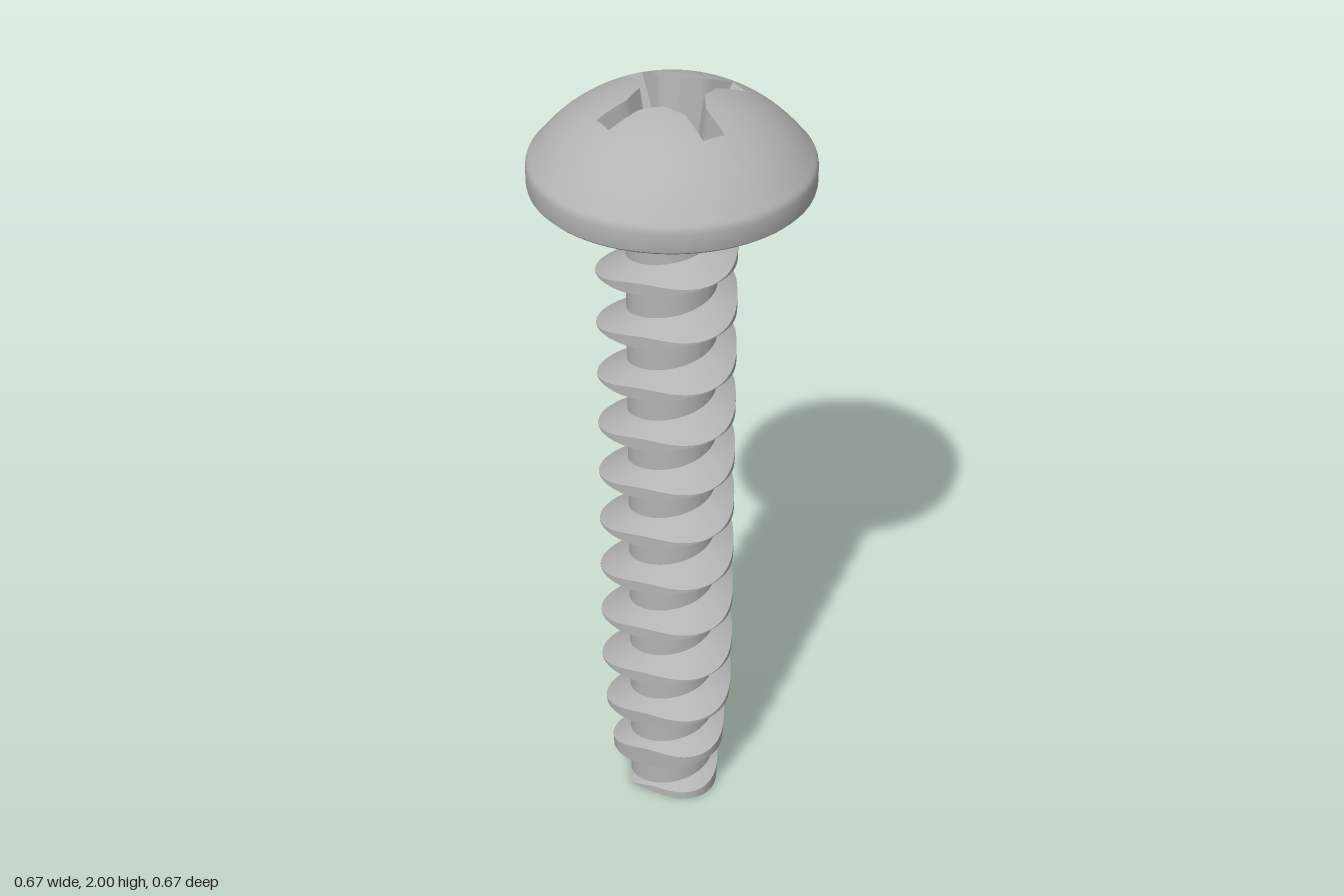
import * as THREE from 'three';
import { toCreasedNormals } from 'three/addons/utils/BufferGeometryUtils.js';

const TAU = Math.PI * 2;

// Point at a counter-clockwise angle (seen from above), radius and height
const polar = (a, r, y) => new THREE.Vector3(r * Math.cos(a), y, -r * Math.sin(a));

// Skin a stack of rings (listed so that the surface faces outwards)
function loft(rings) {
  const pos = [];
  const n = new THREE.Vector3(), e = new THREE.Vector3();
  const tri = (a, b, c) => {
    n.subVectors(b, a).cross(e.subVectors(c, a));
    if (n.length() > 1e-9) for (const p of [a, b, c]) pos.push(p.x, p.y, p.z);
  };
  for (let j = 0; j + 1 < rings.length; j++) {
    for (let i = 0; i + 1 < rings[j].length; i++) {
      const a = rings[j][i], b = rings[j][i + 1], c = rings[j + 1][i + 1], d = rings[j + 1][i];
      tri(a, b, c);
      tri(a, c, d);
    }
  }
  const g = new THREE.BufferGeometry();
  g.setAttribute('position', new THREE.Float32BufferAttribute(pos, 3));
  return toCreasedNormals(g, 0.5);
}

// Three-lobed shank with a V thread, tapering at the tip
function shankGeometry() {
  const N = 72, pitch = 0.1436, crestY = 0.297, top = 1.78;
  const core = 0.108, apex = 0.182, slope = 0.577;
  const lobes = (a, y) =>
    0.167 + 0.013 * Math.cos(3 * (a + Math.PI / 12)) - 0.036 * Math.max(0, 1 - y / 0.33);
  const radius = (a, y) => {
    const t = (y - crestY) / pitch - a / TAU;
    const v = apex - Math.abs(t - Math.round(t)) * pitch / slope;
    return Math.max(core, Math.min(lobes(a, y), v));
  };
  const ring = (fn) => Array.from({ length: N + 1 }, (_, i) => fn((i / N) * TAU));
  const rings = [ring((a) => polar(a, 0, 0))];
  const root = slope * (apex - core);
  for (let k = -4; k <= 11; k++) {
    for (const side of [-2, -1, 1, 2]) {
      rings.push(ring((a) => {
        const yc = crestY + pitch * (k + a / TAU);
        const crest = slope * (apex - lobes(a, Math.max(0, yc)));
        const off = Math.abs(side) === 2 ? root : Math.min(crest, root);
        const y = Math.min(top, Math.max(0, yc + Math.sign(side) * off));
        return polar(a, radius(a, y), y);
      }));
    }
  }
  return loft(rings);
}

// Cross recess: matching rim and floor outlines, as [angle, radius]
function recessOutline() {
  // One arm: [rim along, rim across, floor along, floor across, subdivisions]
  const arm = [
    [0.053, -0.053, 0.038, -0.038, 6],
    [0.103, -0.027, 0.09, -0.0165, 4],
    [0.18, -0.028, 0.09, -0.0165, 4],
    [0.18, 0.028, 0.09, 0.0165, 4],
    [0.103, 0.027, 0.09, 0.0165, 6],
    [0.053, 0.053, 0.038, 0.038, 0],
  ];
  const rim = [], floor = [];
  const add = (list, x, y, turn) => list.push([Math.atan2(y, x) + turn, Math.hypot(x, y)]);
  for (let q = 0; q < 4; q++) {
    const turn = THREE.MathUtils.degToRad(75.5) + q * Math.PI / 2;
    for (let s = 0; s < 5; s++) {
      const p = arm[s], e = arm[s + 1];
      for (let i = 0; i < p[4]; i++) {
        const m = p.map((v, c) => v + (e[c] - v) * i / p[4]);
        add(rim, m[0], m[1], turn);
        add(floor, m[2], m[3], turn);
      }
    }
  }
  for (const list of [rim, floor]) list.push([list[0][0] + TAU, list[0][1]]);
  return { rim, floor };
}

// Domed head
const domeY = (r) => 2.004 - 0.405 + Math.sqrt(0.405 ** 2 - r * r);

function headRings() {
  const { rim, floor } = recessOutline();
  const floorY = 1.85;
  const edge = [[0, 1.765], [0.322, 1.765], [0.328, 1.767], [0.333, 1.772], [0.335, 1.78],
    [0.335, 1.818], [0.334, 1.826], [0.331, 1.834]];
  const shell = edge.map(([r, y]) => rim.map(([a]) => polar(a, r, y)));
  for (let s = 0; s <= 14; s++) {
    shell.push(rim.map(([a, r0]) => {
      const r = 0.325 + (r0 - 0.325) * s / 14;
      return polar(a, r, domeY(r));
    }));
  }
  const recess = [
    shell[shell.length - 1],
    floor.map(([a, r]) => polar(a, r, floorY)),
    floor.map(([a]) => polar(a, 0, floorY)),
  ];
  return { shell, recess };
}

export function createModel() {
  const steel = new THREE.MeshStandardMaterial({ color: 0xb3b3b3 });
  steel.name = 'steel';
  const group = new THREE.Group();
  group.name = 'screw';
  const add = (name, geometry) => {
    const mesh = new THREE.Mesh(geometry, steel);
    mesh.name = name;
    group.add(mesh);
  };
  const { shell, recess } = headRings();
  add('threadedShank', shankGeometry());
  add('domedHead', loft(shell));
  add('crossRecess', loft(recess));
  return group;
}
